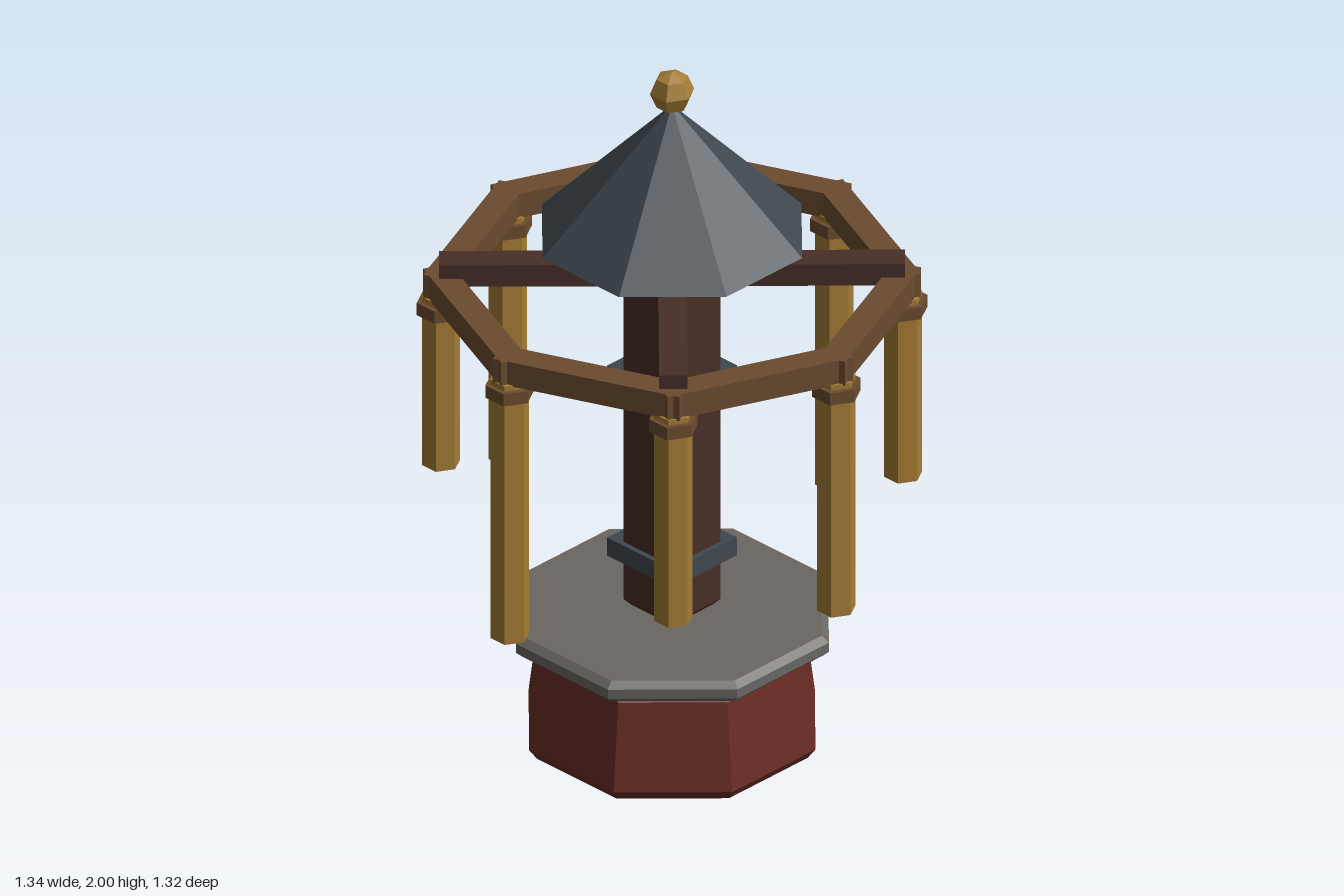
import * as THREE from 'three';
import { ConvexGeometry } from 'three/addons/geometries/ConvexGeometry.js';

export function createModel() {
  const group = new THREE.Group();
  const material = (name, color) => {
    const m = new THREE.MeshStandardMaterial({ color, flatShading: true });
    m.name = name;
    return m;
  };
  const brick = material('redClay', 0x6b2e25);
  const stone = material('greyStone', 0x6a6763);
  const darkWood = material('darkWood', 0x472f27);
  const wood = material('midWood', 0x6b4b2f);
  const slate = material('slateMetal', 0x3f484f);
  const bamboo = material('goldenBamboo', 0xa57d36);

  const add = (name, geometry, mat, x = 0, y = 0, z = 0, turn = 0) => {
    const mesh = new THREE.Mesh(geometry, mat);
    mesh.name = name;
    mesh.position.set(x, y, z);
    mesh.rotation.y = turn;
    group.add(mesh);
    return mesh;
  };

  // Eight-sided solid from [half width across flats, height] pairs
  const octagon = (profile) => {
    const k = 1 / Math.cos(Math.PI / 8);
    const points = profile.map(([r, y]) => new THREE.Vector2(r * k, y));
    return new THREE.LatheGeometry(points, 8).rotateY(Math.PI / 8);
  };

  // Box with every edge cut at 45 degrees
  const chamferedBox = (w, h, d, c) => {
    const points = [];
    for (const x of [-w / 2, w / 2]) for (const y of [-h / 2, h / 2]) for (const z of [-d / 2, d / 2]) {
      const ix = x - Math.sign(x) * c, iy = y - Math.sign(y) * c, iz = z - Math.sign(z) * c;
      points.push(new THREE.Vector3(x, iy, iz), new THREE.Vector3(ix, y, iz), new THREE.Vector3(ix, iy, z));
    }
    return new ConvexGeometry(points);
  };

  // Plinth and slab
  add('plinth', octagon([[0, 0], [0.355, 0], [0.375, 0.03], [0.345, 0.285], [0.315, 0.32], [0, 0.32]]), brick);
  add('slab', octagon([[0, 0.318], [0.392, 0.318], [0.41, 0.335], [0.41, 0.363], [0.392, 0.38], [0, 0.38]]), stone);

  // Central post with two metal collars
  add('post', chamferedBox(0.21, 1.18, 0.21, 0.03), darkWood, 0, 0.97, 0);
  for (const y of [0.557, 1.08]) add('collar', new THREE.BoxGeometry(0.24, 0.055, 0.24), slate, 0, y, 0);

  // Roof and finial
  add('roof', octagon([[0, 1.515], [0.34, 1.515], [0, 1.9]]), slate);
  add('finial', new THREE.SphereGeometry(0.06, 6, 4), bamboo, 0, 1.94, 0);

  // Four diagonal arms
  for (let i = 0; i < 4; i++) {
    const a = Math.PI / 4 + i * Math.PI / 2;
    add('arm', new THREE.BoxGeometry(0.075, 0.065, 0.55), darkWood,
      Math.sin(a) * 0.335, 1.4025, Math.cos(a) * 0.335, a);
  }

  // Ring beams and hanging chimes, counter-clockwise from the front
  const radius = 0.605;
  const bottoms = [0.54, 0.695, 0.62, 0.775, 0.5, 0.735, 0.58, 0.815];
  bottoms.forEach((bottom, i) => {
    const a = i * Math.PI / 4, mid = a + Math.PI / 8;
    const apothem = radius * Math.cos(Math.PI / 8);
    add('ringBeam', new THREE.BoxGeometry(0.528, 0.073, 0.075), wood,
      Math.sin(mid) * apothem, 1.3575, Math.cos(mid) * apothem, mid);

    const x = Math.sin(a) * radius, z = Math.cos(a) * radius;
    const length = 1.325 - bottom;
    add('chime', new THREE.CylinderGeometry(0.052, 0.052, length, 6), bamboo, x, bottom + length / 2, z, Math.PI / 6);
    add('chimeCollar', new THREE.CylinderGeometry(0.066, 0.066, 0.037, 6), wood, x, 1.291, z, Math.PI / 6);
  });

  return group;
}
